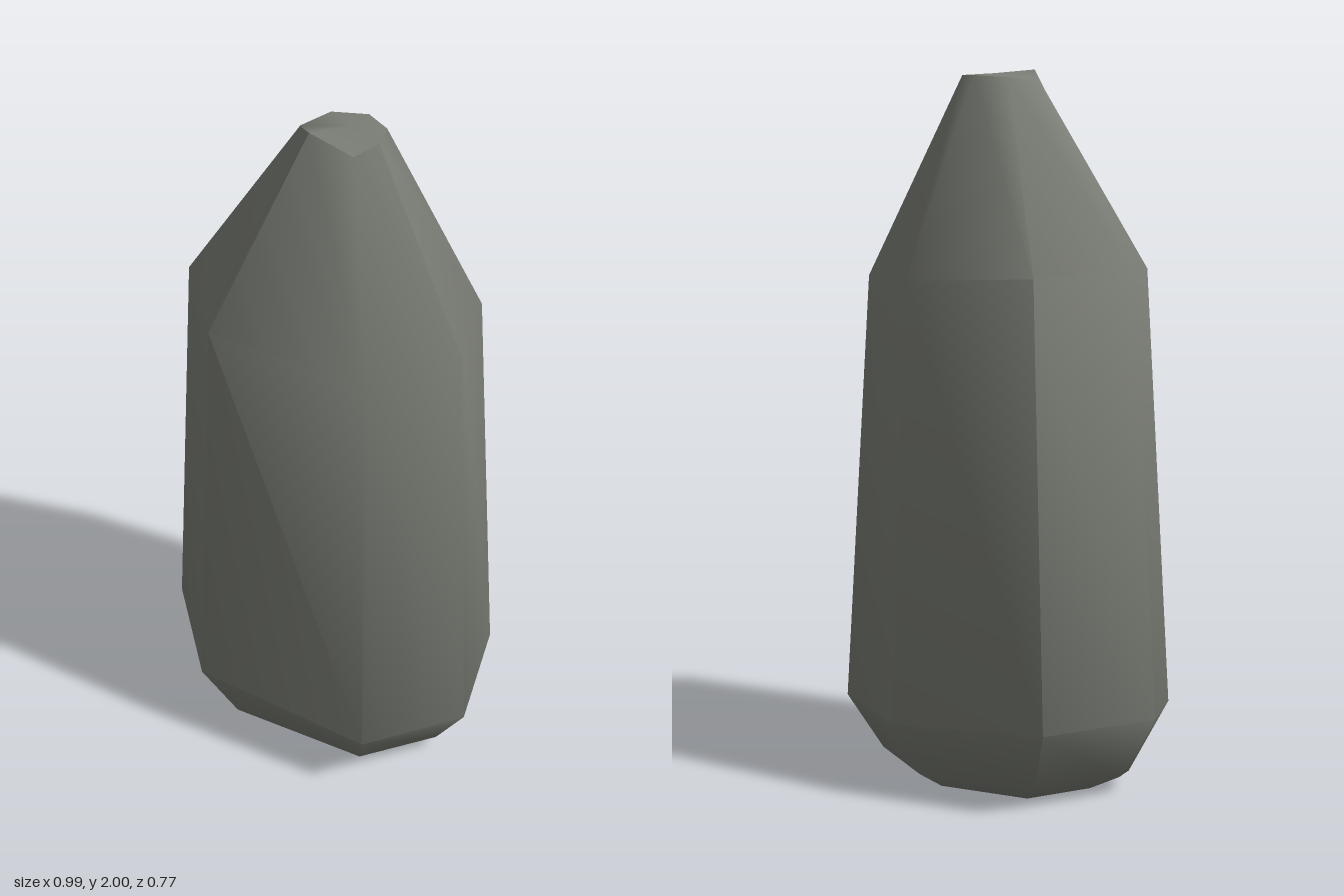
import * as THREE from 'three';
import { toCreasedNormals } from 'three/addons/utils/BufferGeometryUtils.js';

// Eight-sided cross-sections, running clockwise from the back as seen from above
const belly = [
  [0.085, 0.22, -0.39], [0.4, 0.21, -0.225], [0.49, 0.2, 0.115], [0.29, 0.2, 0.36],
  [-0.24, 0.25, 0.385], [-0.48, 0.27, 0.13], [-0.495, 0.24, 0.045], [-0.35, 0.24, -0.275],
];
const shoulder = [
  [0.085, 1.44, -0.32], [0.34, 1.43, -0.18], [0.43, 1.45, 0.1], [0.26, 1.43, 0.31],
  [-0.195, 1.46, 0.34], [-0.4, 1.47, 0.12], [-0.41, 1.47, 0.04], [-0.28, 1.46, -0.23],
];
const tip = [
  [0.055, 1.985, -0.06], [0.13, 1.985, -0.02], [0.15, 1.985, 0.055], [0.11, 1.965, 0.115],
  [-0.015, 2, 0.12], [-0.08, 1.97, 0.057], [-0.08, 1.97, 0.053], [-0.04, 1.98, -0.03],
];
// Tapered foot rings follow the belly outline
const footRing = (sx, sz, y) => belly.map(([x, , z]) => [x * sx + 0.01, y, z * sz + 0.01]);

function loft(rings, bottom, top) {
  const pos = [];
  const tri = (...pts) => pts.forEach((p) => pos.push(...p));
  const n = rings[0].length;
  for (let i = 0; i < n; i++) {
    const j = (i + 1) % n;
    for (let r = 0; r < rings.length - 1; r++) {
      const lo = rings[r], up = rings[r + 1];
      tri(lo[i], up[i], up[j]);
      tri(lo[i], up[j], lo[j]);
    }
    tri(bottom, rings[0][i], rings[0][j]);
    const last = rings[rings.length - 1];
    tri(top, last[j], last[i]);
  }
  const geometry = new THREE.BufferGeometry();
  geometry.setAttribute('position', new THREE.Float32BufferAttribute(pos, 3));
  return toCreasedNormals(geometry, 0.87);
}

export function createModel() {
  const stone = new THREE.MeshStandardMaterial({ color: 0x7b7e76 });
  stone.name = 'stone grey';

  // Standing stone: flat base, bevelled foot, tapering shaft, pointed cap
  const rings = [footRing(0.59, 0.56, 0), footRing(0.78, 0.75, 0.05), belly, shoulder, tip];
  const rock = new THREE.Mesh(loft(rings, [0.01, 0, 0.01], [0.05, 1.99, 0.02]), stone);
  rock.name = 'standingStone';

  const group = new THREE.Group();
  group.name = 'rockPillar';
  group.add(rock);
  return group;
}
